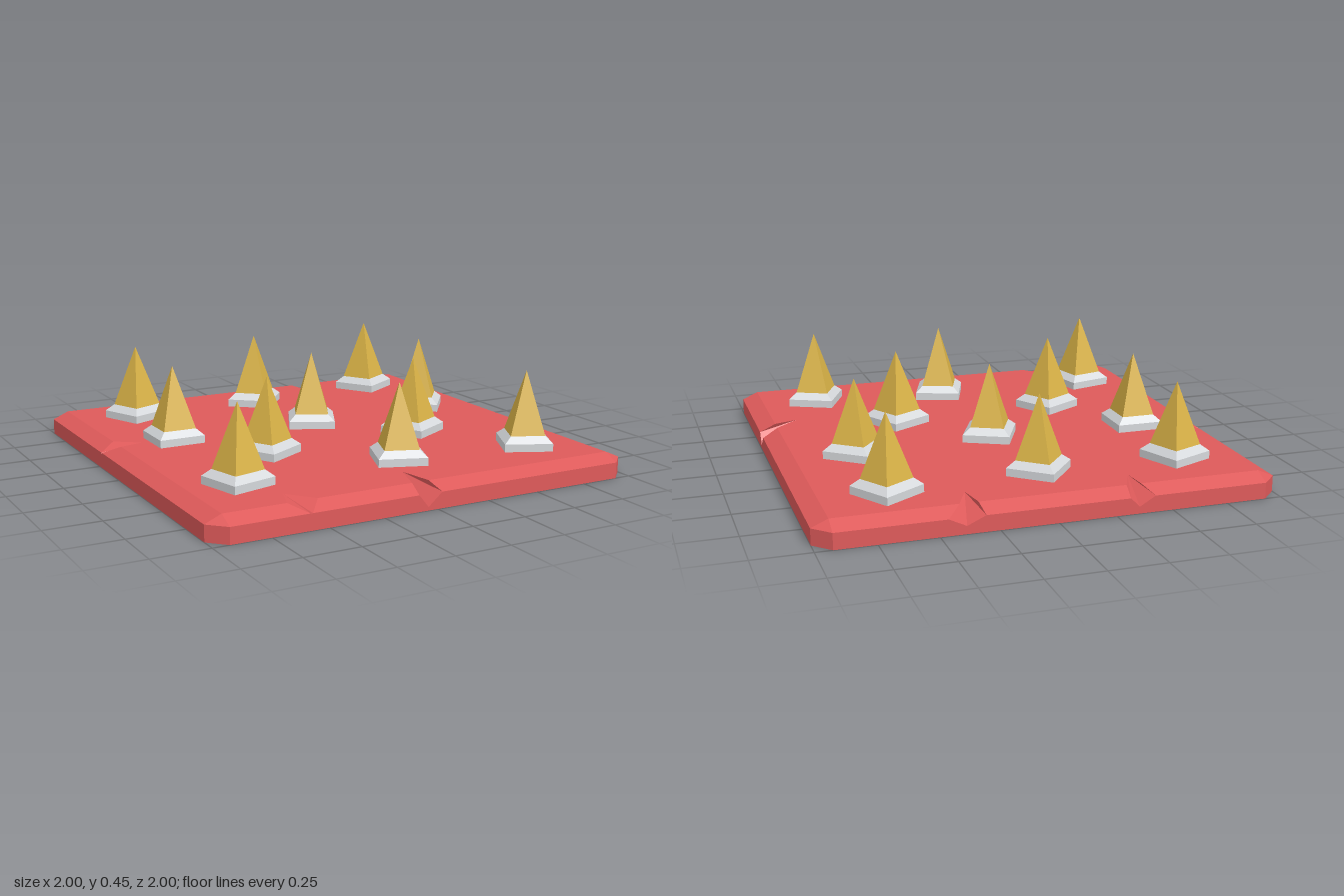
import * as THREE from 'three';

const red = new THREE.MeshStandardMaterial({ color: 0xde5a5a, side: THREE.DoubleSide });
red.name = 'red slab';
const gold = new THREE.MeshStandardMaterial({ color: 0xdab347 });
gold.name = 'gold spike';
const grey = new THREE.MeshStandardMaterial({ color: 0xd5d8db });
grey.name = 'pale grey collar';

const TOP = 0.103, RIM = 0.071, CUT = 0.073, END = 1 - CUT;

// Cracks per side (front, +x, back, -x), ordered along the side.
// a: inner tip [along, inset]; inner/outer: left and right lips; b: lowest point [along, height]
const cracks = [
  [
    { a: [-0.61, 0.19], inner: [-0.65, -0.515], outer: [-0.585, -0.575], b: [-0.58, 0.066] },
    { a: [-0.03, 0.23], inner: [-0.08, 0.0], outer: [-0.09, 0.02], b: [-0.045, 0.015] },
  ],
  [{ a: [-0.39, 0.18], inner: [-0.355, -0.29], outer: [-0.35, -0.255], b: [-0.315, 0.02] }],
  [
    { a: [-0.34, 0.2], inner: [-0.4, -0.32], outer: [-0.465, -0.31], b: [-0.39, 0.035] },
    { a: [0.375, 0.19], inner: [0.32, 0.385], outer: [0.31, 0.42], b: [0.35, 0.03] },
  ],
  [{ a: [-0.19, 0.18], inner: [-0.27, -0.165], outer: [-0.225, -0.215], b: [-0.22, 0.066] }],
];

// Hollow slab: chamfered corners, bevelled rim, V-shaped cracks, open underneath
function slabGeometry() {
  const out = [];
  const face = (...pts) => {
    for (let i = 1; i < pts.length - 1; i++) {
      for (const p of [pts[0], pts[i], pts[i + 1]]) out.push(p.x, p.y, p.z);
    }
  };
  const polygon = (pts, flat) => {
    for (const tri of THREE.ShapeUtils.triangulateShape(flat, [])) face(...tri.map((i) => pts[i]));
  };
  const up = new THREE.Vector3(0, 1, 0);
  const topOutline = [];

  cracks.forEach((list, k) => {
    // along the side, inset from it, height
    const at = (t, inset, y) => new THREE.Vector3(t, y, 1 - inset).applyAxisAngle(up, (k * Math.PI) / 2);
    const wall = [[-END, RIM]];
    let outer = at(-END, 0, RIM), inner = at(-END, CUT, TOP);
    topOutline.push(inner);

    for (const c of list) {
      const A = at(c.a[0], c.a[1], TOP), B = at(c.b[0], 0, c.b[1]);
      const [L1, R1] = c.inner.map((t) => at(t, CUT, TOP));
      const [L2, R2] = c.outer.map((t) => at(t, 0, RIM));
      face(outer, L2, L1, inner);
      face(L2, B, A);
      face(L1, L2, A);
      face(B, R2, A);
      face(R2, R1, A);
      topOutline.push(L1, A, R1);
      wall.push([c.outer[0], RIM], c.b, [c.outer[1], RIM]);
      outer = R2;
      inner = R1;
    }

    // last stretch of rim, side wall and chamfered corner
    const endOuter = at(END, 0, RIM), endInner = at(END, CUT, TOP);
    face(outer, endOuter, endInner, inner);
    wall.push([END, RIM], [END, 0], [-END, 0]);
    wall.reverse();
    polygon(wall.map(([t, y]) => at(t, 0, y)), wall.map(([t, y]) => new THREE.Vector2(t, y)));
    const next = at(1, CUT, RIM);
    face(at(END, 0, 0), at(1, CUT, 0), next, endOuter);
    face(endOuter, next, endInner);
  });

  polygon(topOutline, topOutline.map((p) => new THREE.Vector2(p.x, -p.z)));
  const geo = new THREE.BufferGeometry();
  geo.setAttribute('position', new THREE.Float32BufferAttribute(out, 3));
  geo.computeVertexNormals();
  return geo;
}

// Four-sided frustum given by half widths and heights
function frustum(low, high, y0, y1) {
  const geo = new THREE.CylinderGeometry(high * Math.SQRT2, low * Math.SQRT2, y1 - y0, 4, 1, true)
    .rotateY(Math.PI / 4)
    .translate(0, (y0 + y1) / 2, 0)
    .toNonIndexed();
  geo.computeVertexNormals();
  return geo;
}

// x, z, turn in degrees
const spikes = [
  [-0.66, -0.665, 23], [-0.03, -0.66, 50], [0.645, -0.72, 32],
  [-0.675, -0.16, 0], [0.02, -0.135, -26], [0.66, -0.2, -38],
  [-0.4, 0.245, 30], [0.37, 0.21, 29],
  [-0.71, 0.61, 15], [0.05, 0.61, -20], [0.67, 0.675, -25],
];

export function createModel() {
  const model = new THREE.Group();
  model.name = 'spikeTrap';
  const add = (parent, geo, mat, name) => {
    const mesh = new THREE.Mesh(geo, mat);
    mesh.name = name;
    parent.add(mesh);
  };
  add(model, slabGeometry(), red, 'slab');

  const collar = frustum(0.107, 0.107, 0.1, 0.138);
  const collarBevel = frustum(0.107, 0.077, 0.138, 0.167);
  const point = frustum(0.077, 0, 0.167, 0.449);
  for (const [x, z, turn] of spikes) {
    const spike = new THREE.Group();
    spike.name = 'spike';
    add(spike, collar, grey, 'collar');
    add(spike, collarBevel, grey, 'collarBevel');
    add(spike, point, gold, 'spikePoint');
    spike.position.set(x, 0, z);
    spike.rotation.y = THREE.MathUtils.degToRad(turn);
    model.add(spike);
  }
  return model;
}
